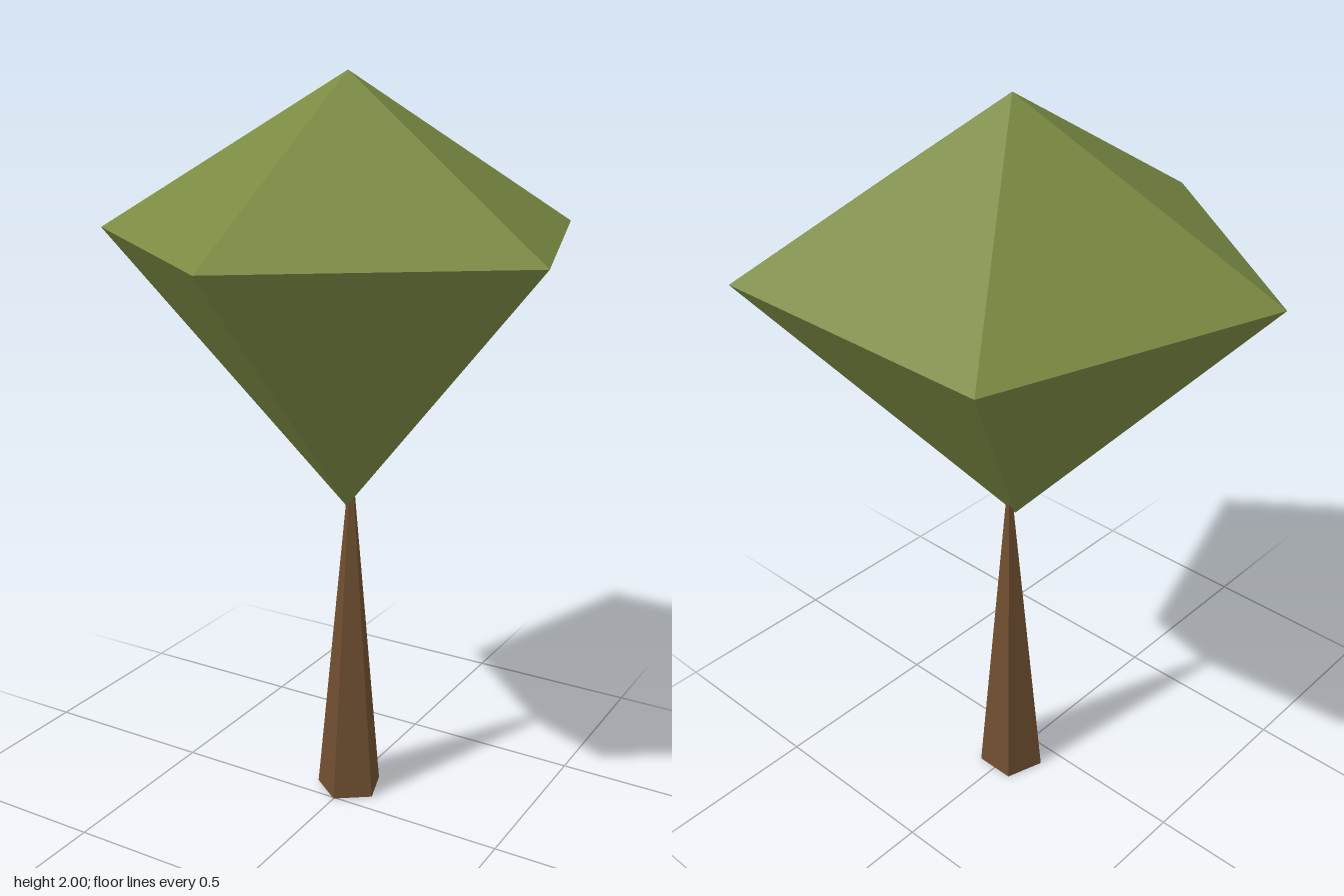
import * as THREE from 'three';

const SIDES = 5; // both parts are pentagonal, with one corner facing +z

function material(name, color) {
  const m = new THREE.MeshStandardMaterial({ color, flatShading: true });
  m.name = name;
  return m;
}

// Turns a [radius, height] profile, listed bottom to top, around a vertical axis at depth z
function turned(name, profile, z, mat) {
  const points = profile.map(([r, y]) => new THREE.Vector2(r, y));
  const geometry = new THREE.LatheGeometry(points, SIDES).toNonIndexed();
  geometry.computeVertexNormals();
  const mesh = new THREE.Mesh(geometry, mat);
  mesh.name = name;
  mesh.position.z = z;
  return mesh;
}

export function createModel() {
  const tree = new THREE.Group();
  tree.name = 'tree';

  // Tapering trunk with a closed base, its tip hidden in the crown
  tree.add(turned('trunk', [[0, 0], [0.0935, 0], [0.009, 0.92], [0, 0.92]], -0.088,
    material('bark brown', 0x6f4e30)));

  // Crown: a low pyramid above a deeper inverted one
  tree.add(turned('crown', [[0, 0.865], [0.665, 1.595], [0, 2]], -0.065,
    material('leaf green', 0x7a8a42)));

  return tree;
}
